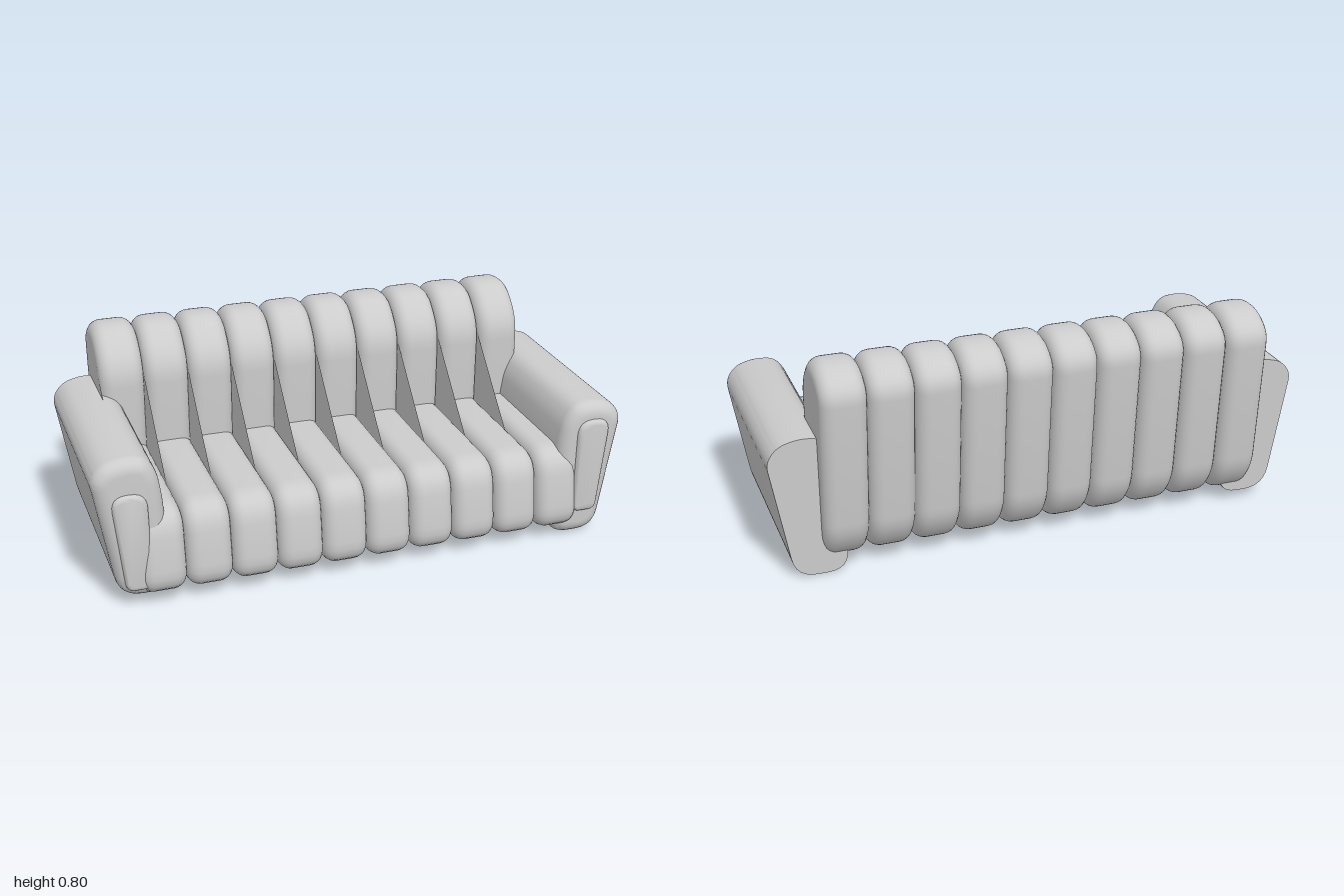
import * as THREE from 'three';
import { toCreasedNormals } from 'three/addons/utils/BufferGeometryUtils.js';

const material = new THREE.MeshStandardMaterial({ color: 0xcccccc });
const sheetMaterial = new THREE.MeshStandardMaterial({ color: 0xcccccc, side: THREE.DoubleSide });

// Closed shape from corners [x, y, cut]; each corner is rounded over the cut length
function roundedShape(corners) {
  const shape = new THREE.Shape();
  const n = corners.length;
  corners.forEach(([x, y, cut], i) => {
    const p = new THREE.Vector2(x, y);
    const toward = (c) => new THREE.Vector2(c[0], c[1]).sub(p).setLength(cut).add(p);
    const a = cut ? toward(corners[(i + n - 1) % n]) : p;
    const b = cut ? toward(corners[(i + 1) % n]) : p;
    if (i === 0) shape.moveTo(a.x, a.y);
    else shape.lineTo(a.x, a.y);
    if (cut) shape.quadraticCurveTo(x, y, b.x, b.y);
  });
  shape.closePath();
  return shape;
}

// Extrusion with rounded rims that stay inside the outline; spans z = 0..length
function cushion(corners, length, bevel, segments = 6) {
  const geo = new THREE.ExtrudeGeometry(roundedShape(corners), {
    depth: length - 2 * bevel,
    bevelThickness: bevel,
    bevelSize: bevel,
    bevelOffset: -bevel,
    bevelSegments: segments,
    curveSegments: 6,
  });
  return geo.translate(0, 0, bevel);
}

function addMesh(parent, name, geometry, mat = material) {
  const mesh = new THREE.Mesh(geometry, mat);
  mesh.name = name;
  parent.add(mesh);
  return mesh;
}

// Side profile of one padded channel (z, y): seat and backrest in one piece
const channelProfile = [
  [0.47, 0.045, 0.1], [0.425, 0.365, 0.1], [-0.135, 0.365, 0],
  [-0.13, 0.685, 0.085], [-0.25, 0.8, 0.055], [-0.37, 0.8, 0.055],
  [-0.465, 0.73, 0.055], [-0.42, 0.16, 0.055], [-0.345, 0.045, 0.07],
];

// Front outlines of the left arm and its raised panel (x, y)
const armProfile = [
  [0.925, 0, 0.08], [1.005, 0.465, 0.033], [0.965, 0.52, 0.033], [0.89, 0.54, 0.036],
  [0.81, 0.532, 0.036], [0.77, 0.47, 0.036], [0.755, 0.38, 0.04], [0.73, 0, 0.08],
];
const panelProfile = [
  [0.905, 0.1, 0.03], [0.945, 0.475, 0.06], [0.815, 0.475, 0.06], [0.81, 0.1, 0.03],
];

const place = (corners, side, dy) => corners.map(([x, y, c]) => [x * side, y + dy, c]);

export function createModel() {
  const model = new THREE.Group();
  model.name = 'sofa';

  // Ten channels side by side
  const count = 10, pitch = 0.168, startX = -0.855;
  const channelGeo = toCreasedNormals(
    cushion(channelProfile, pitch, 0.05).translate(0, 0, -pitch / 2).rotateY(-Math.PI / 2), 0.7);

  // Thin triangular gusset in the corner between seat and backrest
  const gussetShape = new THREE.Shape([
    new THREE.Vector2(-0.18, 0.315), new THREE.Vector2(0.15, 0.315), new THREE.Vector2(-0.18, 0.645),
  ]);
  const gussetGeo = new THREE.ShapeGeometry(gussetShape).rotateY(-Math.PI / 2);

  for (let i = 0; i < count; i++) {
    addMesh(model, 'channel', channelGeo).position.x = startX + pitch * (i + 0.5);
    addMesh(model, 'gusset', gussetGeo, sheetMaterial).position.x = startX + pitch * i;
  }

  // Arms: rounded front rim, flat back end; the right one sits slightly higher
  const armBack = -0.36, armFront = 0.425;
  for (const side of [1, -1]) {
    const arm = new THREE.Group();
    arm.name = side > 0 ? 'leftArm' : 'rightArm';
    model.add(arm);

    const bevel = 0.05;
    const length = armFront - armBack + bevel;
    const body = cushion(place(armProfile, side, side > 0 ? 0 : 0.037), length, bevel);
    body.translate(0, 0, armBack - bevel);
    // Flatten the rear rim into a plane
    const pos = body.attributes.position;
    for (let i = 0; i < pos.count; i++) pos.setZ(i, Math.max(pos.getZ(i), armBack));
    addMesh(arm, 'armBody', toCreasedNormals(body, 0.7));

    const panel = cushion(place(panelProfile, side, side > 0 ? 0 : -0.025), 0.06, 0.018, 4);
    addMesh(arm, 'armFrontPanel', toCreasedNormals(panel.translate(0, 0, 0.382), 0.7));
  }
  return model;
}
